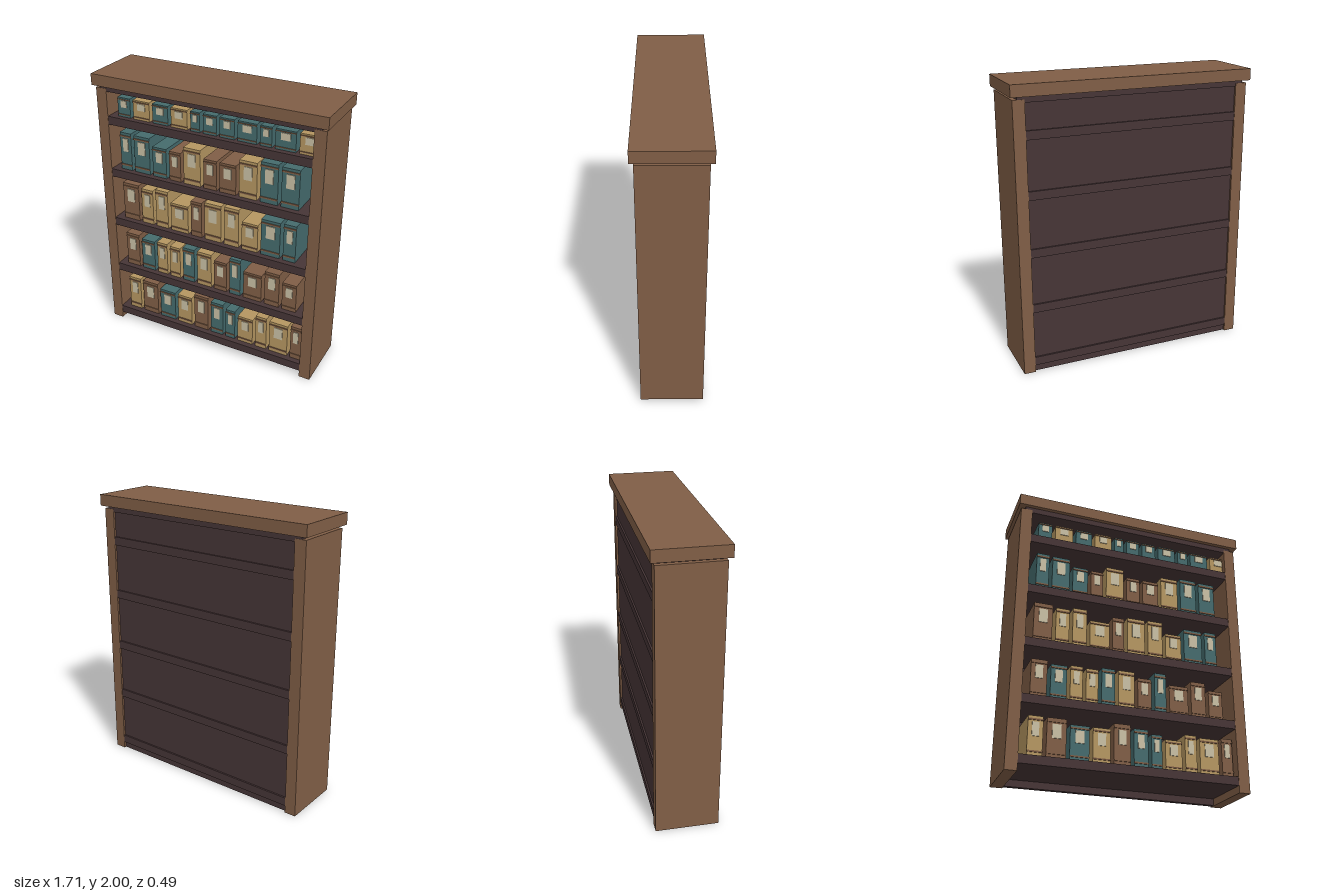
import * as THREE from 'three';

const mat = (name, color, extra = {}) => {
  const m = new THREE.MeshStandardMaterial({ color, ...extra });
  m.name = name;
  return m;
};

export function createModel() {
  const wood = mat('wood', 0x805e46);
  const dark = mat('darkWood', 0x463536);
  const cream = mat('labelCream', 0xc9bfa4);
  const covers = {
    T: mat('tealCover', 0x456b6d),
    Y: mat('tanCover', 0xb59661),
    B: wood,
  };

  const model = new THREE.Group();
  model.name = 'bookcase';

  // Box given by its min and max along each axis
  const box = (parent, name, material, x0, x1, y0, y1, z0, z1) => {
    const mesh = new THREE.Mesh(new THREE.BoxGeometry(x1 - x0, y1 - y0, z1 - z0), material);
    mesh.position.set((x0 + x1) / 2, (y0 + y1) / 2, (z0 + z1) / 2);
    mesh.name = name;
    parent.add(mesh);
  };

  // Case: top, sides, back and the recessed board under the top
  box(model, 'top', wood, -0.853, 0.853, 1.92, 2, -0.243, 0.243);
  box(model, 'leftSide', wood, 0.755, 0.836, 0, 1.9, -0.217, 0.217);
  box(model, 'rightSide', wood, -0.836, -0.755, 0, 1.9, -0.217, 0.217);
  box(model, 'backPanel', dark, -0.76, 0.76, 0.003, 1.9, -0.203, -0.17);
  box(model, 'upperBoard', dark, -0.805, 0.805, 1.88, 1.92, -0.215, 0.215);

  // Books from right to left: cover colours, widths and heights for each shelf
  const rows = [
    ['YBTYBTTYYYB',
      [0.1, 0.13, 0.13, 0.12, 0.115, 0.1, 0.075, 0.12, 0.085, 0.14, 0.08],
      [0.265, 0.265, 0.235, 0.235, 0.28, 0.26, 0.235, 0.21, 0.26, 0.25, 0.265]],
    ['BTYYTYBTBBB',
      [0.11, 0.11, 0.085, 0.085, 0.095, 0.115, 0.1, 0.085, 0.14, 0.11, 0.105],
      [0.26, 0.24, 0.25, 0.245, 0.265, 0.265, 0.23, 0.285, 0.21, 0.26, 0.21]],
    ['BYYYBYYYTT',
      [0.13, 0.095, 0.1, 0.14, 0.085, 0.13, 0.11, 0.12, 0.14, 0.09],
      [0.28, 0.265, 0.285, 0.21, 0.265, 0.28, 0.285, 0.205, 0.265, 0.27]],
    ['TTTBYBBYTT',
      [0.09, 0.125, 0.11, 0.09, 0.13, 0.1, 0.12, 0.13, 0.125, 0.125],
      [0.273, 0.268, 0.215, 0.21, 0.263, 0.21, 0.21, 0.263, 0.283, 0.278]],
    ['TYTYTTTTTTY',
      [0.1, 0.13, 0.12, 0.125, 0.07, 0.1, 0.105, 0.135, 0.08, 0.14, 0.135],
      new Array(11).fill(0.132)],
  ];
  const front = 0.175, depth = 0.24;

  rows.forEach(([colours, widths, heights], r) => {
    // Shelf board
    const y = 0.11 + r * 0.398;
    box(model, 'shelf', dark, -0.79, 0.79, y - 0.06, y, -0.215, 0.215);

    const row = new THREE.Group();
    row.name = 'bookRow';
    model.add(row);
    let x = -0.695;
    widths.forEach((w, i) => {
      const h = heights[i] + 0.006;
      const book = new THREE.Group();
      book.name = 'book';
      box(book, 'cover', covers[colours[i]], x, x + w, y, y + h, front - depth, front);
      // Spine bands near the bottom and top
      for (const t of [0.13, 0.91]) {
        box(book, 'band', wood, x, x + w, y + h * (t - 0.02), y + h * (t + 0.02), front - 0.001, front + 0.006);
      }
      // Spine label
      box(book, 'label', cream, x + w * 0.27, x + w * 0.73, y + h * 0.5, y + h * 0.85, front - 0.001, front + 0.005);
      row.add(book);
      x += w + 0.024;
    });
  });

  return model;
}
